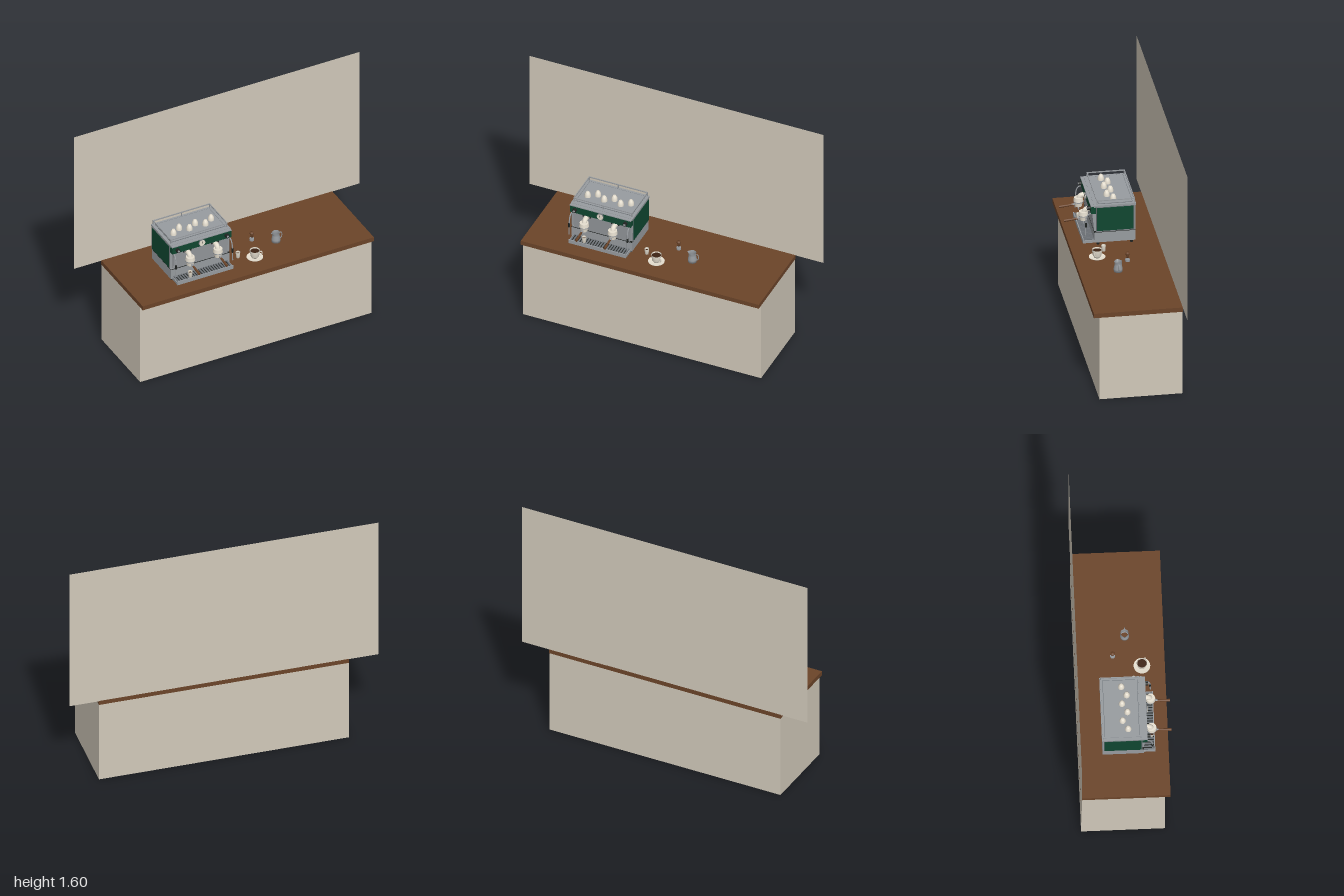
import * as THREE from 'three';

const mat = (name, color, side = THREE.FrontSide) => {
  const m = new THREE.MeshStandardMaterial({ color, side });
  m.name = name;
  return m;
};

export function createModel() {
  const stone = mat('stone', 0xd0c8b9, THREE.DoubleSide);
  const wood = mat('wood', 0x6b4429);
  const steel = mat('steel', 0x979b9f);
  const darkSteel = mat('dark steel', 0x6f7479);
  const green = mat('green enamel', 0x0f4630);
  const cream = mat('cream china', 0xe6dfd0, THREE.DoubleSide);
  const black = mat('black', 0x202422);
  const coffee = mat('coffee', 0x3d2314);
  const milkSteel = mat('jug steel', 0x979b9f, THREE.DoubleSide);

  const root = new THREE.Group();
  const group = (name, x = 0, y = 0, z = 0, parent = root) => {
    const g = new THREE.Group();
    g.name = name;
    g.position.set(x, y, z);
    parent.add(g);
    return g;
  };
  const add = (parent, name, geo, m, x = 0, y = 0, z = 0) => {
    const mesh = new THREE.Mesh(geo, m);
    mesh.name = name;
    mesh.position.set(x, y, z);
    parent.add(mesh);
    return mesh;
  };
  // Box given by its limits on each axis
  const box = (parent, name, m, x0, x1, y0, y1, z0, z1) =>
    add(parent, name, new THREE.BoxGeometry(x1 - x0, y1 - y0, z1 - z0), m, (x0 + x1) / 2, (y0 + y1) / 2, (z0 + z1) / 2);
  const cyl = (parent, name, m, r0, r1, h, x, y, z, n = 24) =>
    add(parent, name, new THREE.CylinderGeometry(r0, r1, h, n), m, x, y, z);
  const disc = (parent, name, m, r, depth, x, y, z) => {
    const d = cyl(parent, name, m, r, r, depth, x, y, z);
    d.rotation.x = Math.PI / 2;
    return d;
  };
  const lathe = (parent, name, m, pts) =>
    add(parent, name, new THREE.LatheGeometry(pts.map(p => new THREE.Vector2(...p)), 28), m);
  const tube = (parent, name, m, r, pts) =>
    add(parent, name, new THREE.TubeGeometry(
      new THREE.CatmullRomCurve3(pts.map(p => new THREE.Vector3(...p))), 20, r, 8), m);

  // Wall and counter
  add(root, 'backWall', new THREE.PlaneGeometry(2, 1), stone, 0, 1.095, -0.29);
  box(root, 'counterBase', stone, -0.81, 0.81, 0, 0.567, -0.288, 0.235);
  box(root, 'counterTop', wood, -0.81, 0.81, 0.567, 0.597, -0.29, 0.27);

  // Espresso machine, centred on its own x
  const machine = group('espressoMachine', -0.327);
  box(machine, 'lowerBody', steel, -0.205, 0.205, 0.617, 0.69, -0.142, 0.115);
  box(machine, 'upperBody', steel, -0.207, 0.207, 0.69, 0.865, -0.144, 0.105);
  box(machine, 'topDeck', steel, -0.21, 0.21, 0.862, 0.875, -0.146, 0.118);
  box(machine, 'bodySeam', black, -0.206, 0.206, 0.686, 0.69, -0.143, 0.116);
  for (const s of [-1, 1]) {
    box(machine, 'sidePanel', green, s * 0.209 - 0.003, s * 0.209 + 0.003, 0.699, 0.858, -0.13, 0.1);
    box(machine, 'sideTrim', darkSteel, s * 0.208 - 0.002, s * 0.208 + 0.002, 0.694, 0.862, -0.135, 0.105);
    for (const z of [-0.12, 0.09]) cyl(machine, 'foot', black, 0.011, 0.009, 0.022, s * 0.185, 0.607, z, 16);
  }

  // Sloping splash plate under the control fascia
  const side = new THREE.Shape();
  [[0.1, 0.69], [0.115, 0.69], [0.128, 0.82], [0.1, 0.82]].forEach(([z, y], i) =>
    i ? side.lineTo(-z, y) : side.moveTo(-z, y));
  const splash = add(machine, 'splashPlate',
    new THREE.ExtrudeGeometry(side, { depth: 0.38, bevelEnabled: false }), steel, -0.19);
  splash.rotation.y = Math.PI / 2;
  box(machine, 'controlFascia', green, -0.207, 0.207, 0.818, 0.867, 0.1, 0.137);
  box(machine, 'fasciaTrim', steel, -0.209, 0.209, 0.867, 0.873, 0.1, 0.139);
  disc(machine, 'gaugeRim', darkSteel, 0.023, 0.008, 0, 0.844, 0.139);
  disc(machine, 'gaugeFace', cream, 0.02, 0.008, 0, 0.844, 0.142);
  box(machine, 'gaugeNeedle', black, -0.001, 0.001, 0.844, 0.858, 0.145, 0.148);
  for (const s of [-1, 1]) {
    disc(machine, 'steamKnob', black, 0.013, 0.02, s * 0.172, 0.844, 0.146);
    disc(machine, 'knobCap', steel, 0.007, 0.004, s * 0.172, 0.844, 0.157);
    // Steam wand
    tube(machine, 'steamWand', steel, 0.004, [[s * 0.195, 0.815, 0.12], [s * 0.196, 0.812, 0.15],
      [s * 0.197, 0.785, 0.166], [s * 0.198, 0.72, 0.17], [s * 0.198, 0.668, 0.172]]);
    cyl(machine, 'wandGrip', black, 0.006, 0.006, 0.03, s * 0.198, 0.74, 0.169, 12);
  }

  // Brewing groups with portafilters
  for (const s of [-1, 1]) {
    const brew = group('brewGroup', s * 0.097, 0, 0, machine);
    tube(brew, 'groupNeck', cream, 0.017, [[0, 0.79, 0.105], [0, 0.803, 0.13], [0, 0.798, 0.155], [0, 0.775, 0.168]]);
    cyl(brew, 'groupHead', cream, 0.028, 0.031, 0.026, 0, 0.775, 0.168);
    cyl(brew, 'groupCollar', steel, 0.032, 0.032, 0.006, 0, 0.76, 0.168);
    cyl(brew, 'filterBasket', cream, 0.027, 0.022, 0.03, 0, 0.743, 0.168);
    const handle = cyl(brew, 'portafilterHandle', wood, 0.009, 0.006, 0.088, 0, 0.735, 0.246, 14);
    handle.rotation.x = Math.PI / 2 + 0.1;
    const ferrule = cyl(brew, 'handleFerrule', steel, 0.006, 0.006, 0.03, 0, 0.741, 0.196, 12);
    ferrule.rotation.x = Math.PI / 2 + 0.1;
    for (const k of [-1, 1])
      tube(brew, 'spout', steel, 0.004, [[0, 0.731, 0.168], [k * 0.008, 0.722, 0.168], [k * 0.01, 0.706, 0.168]]);
    for (let i = -2; i <= 2; i++) box(brew, 'brewButton', black, i * 0.012 - 0.004, i * 0.012 + 0.004, 0.803, 0.811, 0.122, 0.131);
  }

  // Drip tray with slats
  box(machine, 'dripTray', steel, -0.195, 0.195, 0.612, 0.63, 0.11, 0.187);
  box(machine, 'trayWell', black, -0.187, 0.187, 0.629, 0.632, 0.118, 0.181);
  for (let i = 0; i < 22; i++) {
    const x = -0.184 + i * 0.0175;
    box(machine, 'traySlat', darkSteel, x - 0.005, x + 0.005, 0.63, 0.636, 0.116, 0.183);
  }
  for (const z of [0.112, 0.184]) box(machine, 'trayRim', steel, -0.195, 0.195, 0.63, 0.638, z - 0.003, z + 0.003);

  // Cup rail around the top deck
  for (const z of [-0.137, 0.098]) {
    box(machine, 'cupRail', steel, -0.2, 0.2, 0.899, 0.905, z - 0.003, z + 0.003);
    for (const x of [-0.197, 0, 0.197]) box(machine, 'railPost', steel, x - 0.003, x + 0.003, 0.873, 0.9, z - 0.003, z + 0.003);
  }
  for (const x of [-0.197, 0.197]) box(machine, 'cupRail', steel, x - 0.003, x + 0.003, 0.899, 0.905, -0.137, 0.098);
  box(machine, 'cupMat', darkSteel, -0.19, 0.19, 0.874, 0.877, -0.128, 0.09);
  box(machine, 'cupWarmer', steel, -0.187, 0.187, 0.875, 0.878, -0.125, 0.087);

  // Upturned cups warming on top
  for (let i = 0; i < 6; i++) {
    const cup = group('warmingCup', -0.138 + i * 0.056, 0.878, i % 2 ? -0.012 : 0.02, machine);
    lathe(cup, 'cupShell', cream, [[0.02, 0], [0.0195, 0.012], [0.016, 0.026], [0.011, 0.031], [0.01, 0.036], [0, 0.036]]);
  }

  // Small straight cups, one under a spout and one on the counter
  const shot = (name, x, y, z) => {
    const g = group(name, x, y, z);
    lathe(g, 'cupWall', cream, [[0, 0], [0.011, 0], [0.015, 0.04], [0.013, 0.04], [0.0105, 0.004], [0, 0.004]]);
    cyl(g, 'cupCoffee', coffee, 0.0125, 0.0115, 0.004, 0, 0.026, 0);
  };
  shot('brewingCup', -0.424, 0.636, 0.168);
  shot('shotCup', -0.04, 0.597, 0.072);

  // Filled cup on a saucer
  const cup = group('servedCup', 0.05, 0.597, 0.127);
  lathe(cup, 'saucer', cream, [[0, 0], [0.028, 0], [0.052, 0.009], [0.052, 0.011], [0.028, 0.005], [0, 0.005]]);
  lathe(cup, 'cupBowl', cream, [[0, 0.006], [0.018, 0.006], [0.027, 0.02], [0.033, 0.06], [0.03, 0.06], [0.024, 0.02], [0, 0.01]]);
  cyl(cup, 'cupCoffee', coffee, 0.0295, 0.029, 0.003, 0, 0.051, 0);
  tube(cup, 'cupHandle', cream, 0.0035, [[0.028, 0.05, 0], [0.042, 0.051, 0], [0.045, 0.036, 0], [0.036, 0.024, 0], [0.026, 0.022, 0]])
    .rotation.y = -0.5;

  // Tamper
  const tamper = group('tamper', 0.122, 0.597, -0.053);
  cyl(tamper, 'tamperBase', steel, 0.015, 0.015, 0.014, 0, 0.007, 0);
  cyl(tamper, 'tamperNeck', steel, 0.005, 0.007, 0.012, 0, 0.02, 0, 16);
  lathe(tamper, 'tamperHandle', wood, [[0, 0.024], [0.007, 0.024], [0.008, 0.034], [0.014, 0.052], [0.012, 0.06], [0, 0.063]]);

  // Milk jug, its lip pulled out into a spout on one side
  const jug = group('milkJug', 0.25, 0.597, 0.027);
  const body = lathe(jug, 'jugBody', milkSteel, [[0, 0], [0.027, 0], [0.028, 0.02], [0.023, 0.045], [0.023, 0.056], [0.025, 0.068]]);
  const p = body.geometry.attributes.position;
  for (let i = 0; i < p.count; i++) {
    const x = p.getX(i), y = p.getY(i);
    if (y > 0.06 && x < -0.019 && Math.abs(p.getZ(i)) < 0.013) p.setX(i, x - 0.01 * (1 - Math.abs(p.getZ(i)) / 0.013));
  }
  body.geometry.computeVertexNormals();
  tube(jug, 'jugHandle', steel, 0.003, [[0.022, 0.057, 0], [0.036, 0.059, 0], [0.041, 0.045, 0], [0.038, 0.024, 0], [0.027, 0.016, 0]]);

  return root;
}
